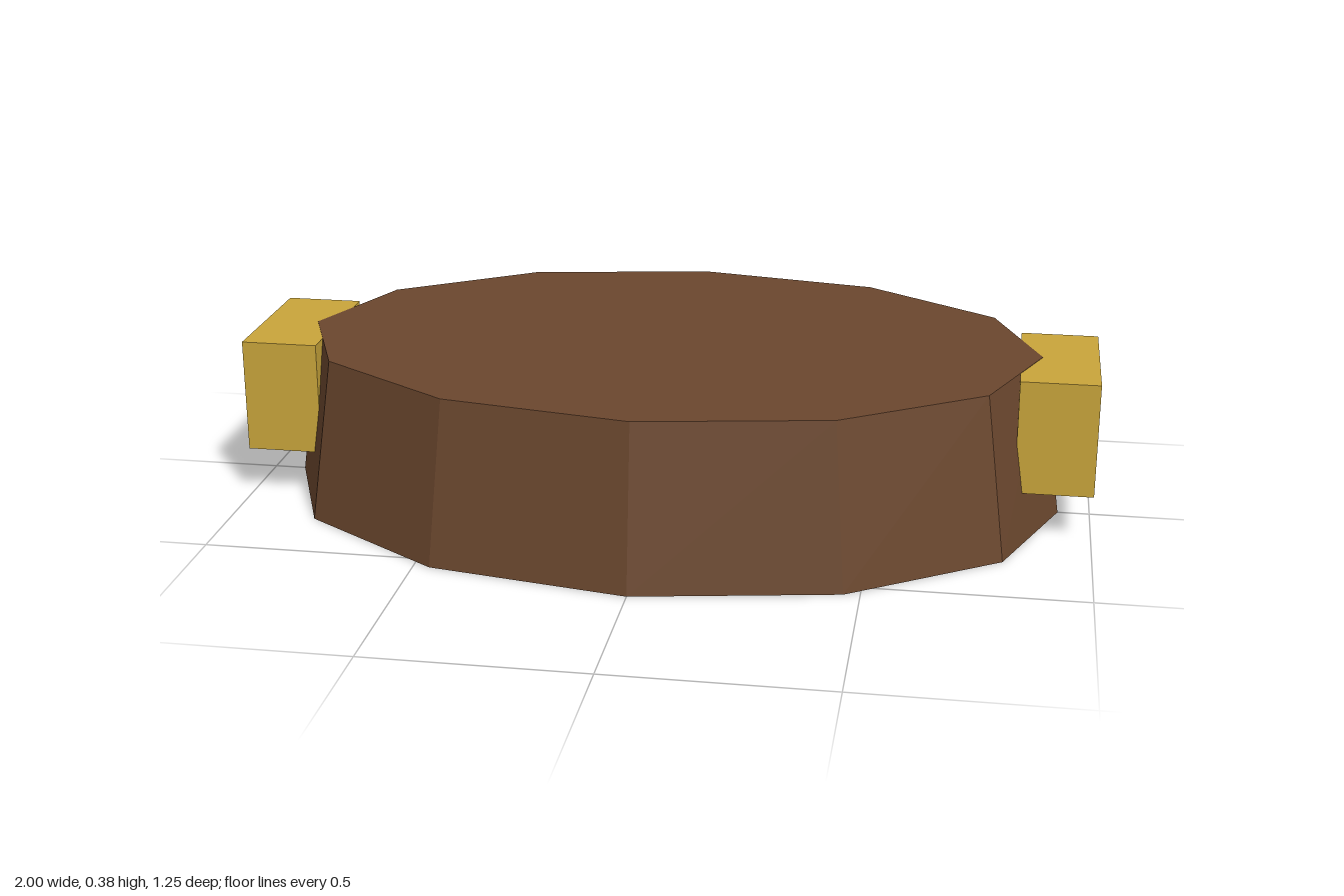
import * as THREE from 'three';

export function createModel() {
  const brown = new THREE.MeshStandardMaterial({ color: 0x6b472e, flatShading: true });
  brown.name = 'brown';
  const gold = new THREE.MeshStandardMaterial({ color: 0xc9a53b, flatShading: true });
  gold.name = 'gold';

  const model = new THREE.Group();
  model.name = 'ovalBlock';
  const height = 0.385;

  // Twelve-sided oval body, tapering by an even inset towards the top
  const bodyGeometry = new THREE.CylinderGeometry(1, 1, height, 12);
  bodyGeometry.translate(0, height / 2, 0);
  const pos = bodyGeometry.attributes.position;
  for (let i = 0; i < pos.count; i++) {
    const top = pos.getY(i) > height / 2;
    pos.setX(i, pos.getX(i) * (top ? 0.87 : 0.926));
    pos.setZ(i, pos.getZ(i) * (top ? 0.574 : 0.627));
  }
  bodyGeometry.computeVertexNormals();
  const body = new THREE.Mesh(bodyGeometry, brown);
  body.name = 'body';
  model.add(body);

  // Square lug at each end, its top just under the body top
  for (const side of [-1, 1]) {
    const lug = new THREE.Mesh(new THREE.BoxGeometry(0.18, 0.269, 0.36), gold);
    lug.position.set(side * 0.91, 0.2495, 0);
    lug.name = side > 0 ? 'leftLug' : 'rightLug';
    model.add(lug);
  }
  return model;
}
